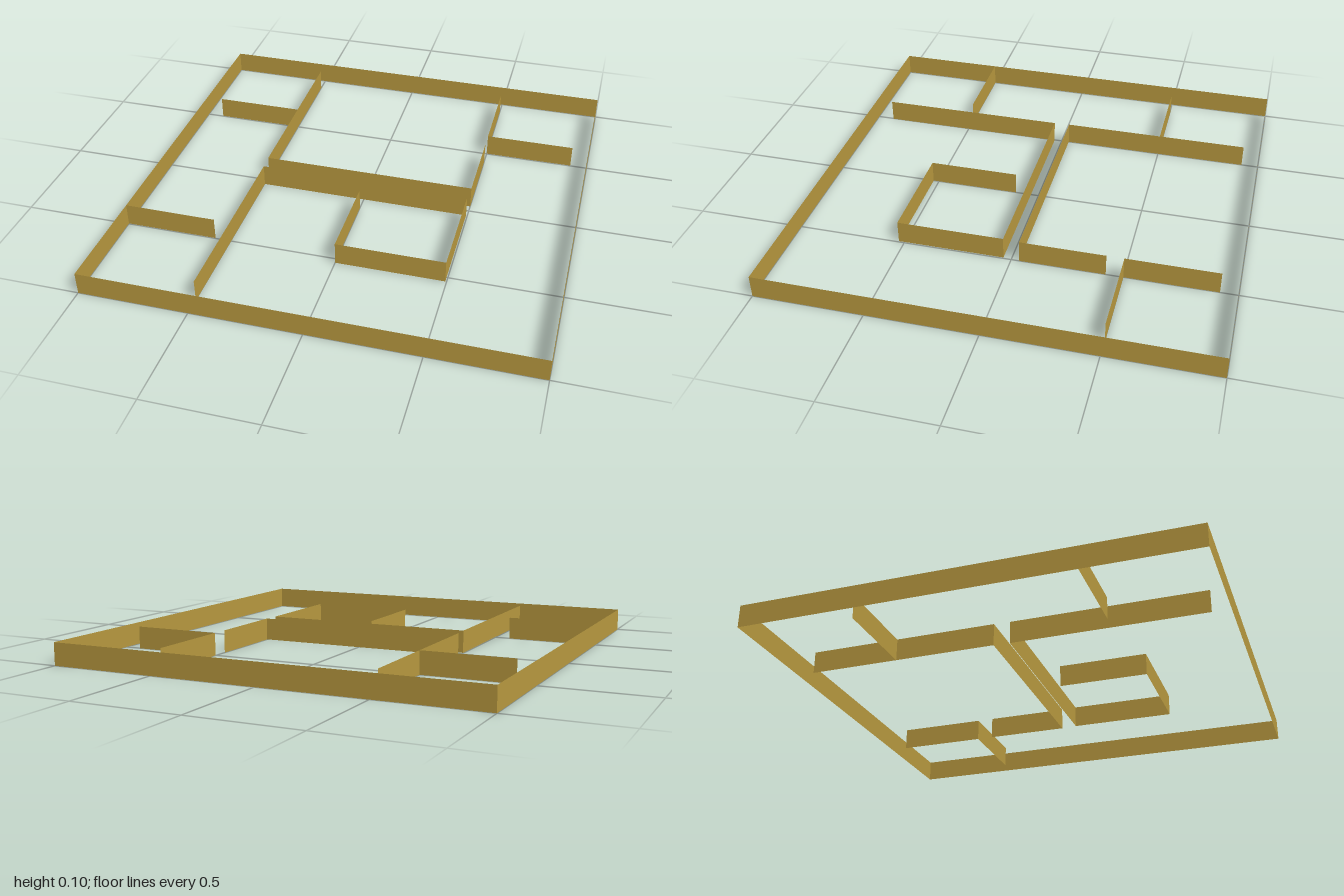
import * as THREE from 'three';
import { mergeGeometries } from 'three/addons/utils/BufferGeometryUtils.js';

const HEIGHT = 0.104;
const material = new THREE.MeshStandardMaterial({ color: 0xb8993f, side: THREE.DoubleSide });

// Upright thin wall following a plan path of [x, z] points
function wall(name, path) {
  const panels = path.slice(1).map(([x2, z2], i) => {
    const [x1, z1] = path[i];
    const dx = x2 - x1, dz = z2 - z1;
    return new THREE.PlaneGeometry(Math.hypot(dx, dz), HEIGHT)
      .rotateY(-Math.atan2(dz, dx))
      .translate((x1 + x2) / 2, HEIGHT / 2, (z1 + z2) / 2);
  });
  const mesh = new THREE.Mesh(mergeGeometries(panels), material);
  mesh.name = name;
  return mesh;
}

export function createModel() {
  const group = new THREE.Group();
  group.name = 'floorPlanWalls';
  group.add(
    // Square outer boundary
    wall('outerWall', [[-1, 1], [1, 1], [1, -1], [-1, -1], [-1, 1]]),
    // Rear hall with its side stub
    wall('rearHallWall', [[-0.5, -0.92], [-0.5, -0.037], [0.5, -0.037], [0.5, -0.425]]),
    wall('rearRightStub', [[-0.92, -0.503], [-0.5, -0.503]]),
    // Rear left corner room
    wall('rearCornerWall', [[0.5, -0.92], [0.5, -0.503], [0.92, -0.503]]),
    // Front wall curling into an inner room
    wall('frontSpiralWall', [[-0.497, 0.918], [-0.497, 0.037], [0.494, 0.037],
      [0.494, 0.527], [0, 0.527], [0, 0.11]]),
    // Stub joined to the outer wall
    wall('frontRightStub', [[-1, 0.497], [-0.573, 0.497]]),
  );
  return group;
}
